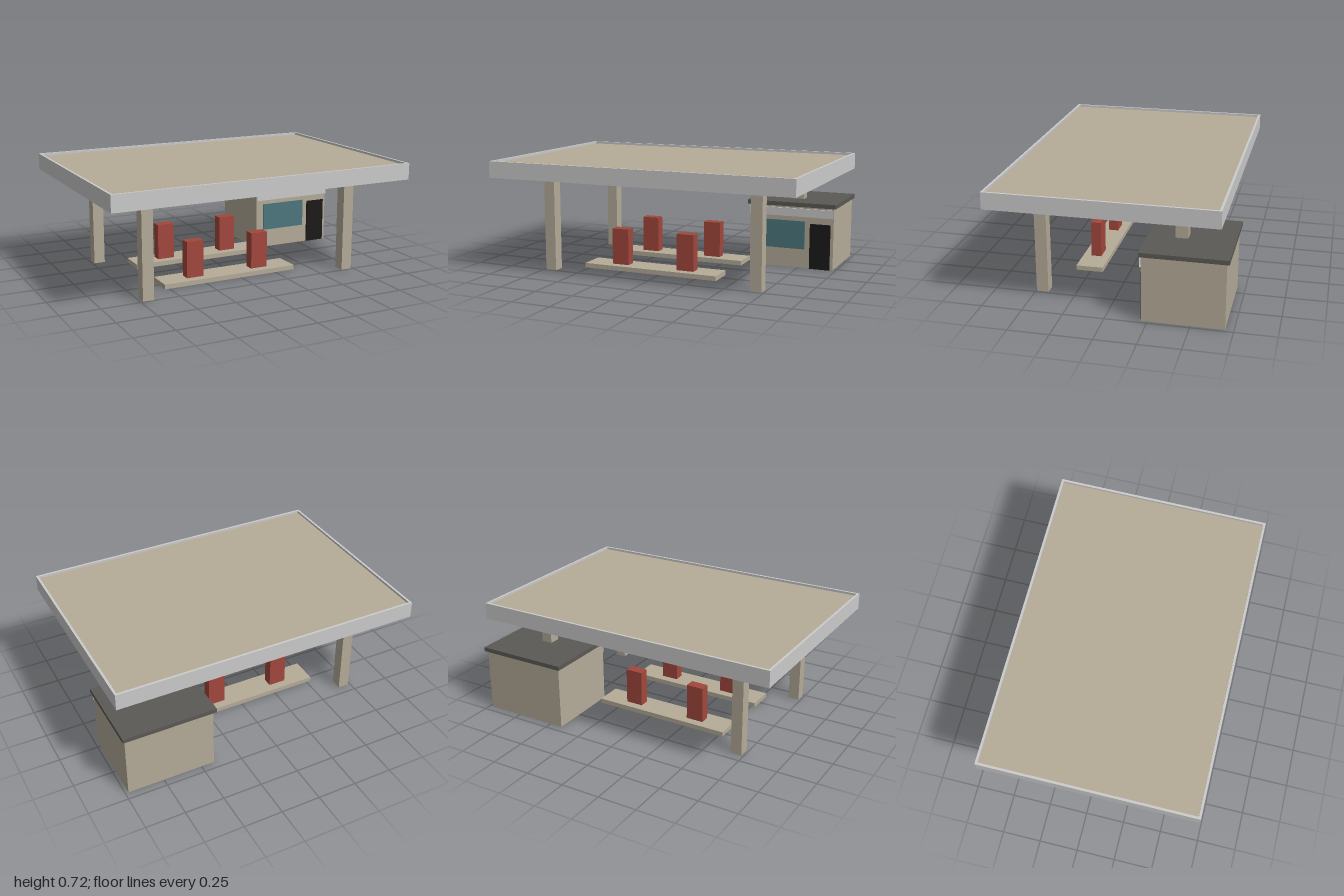
import * as THREE from 'three';

const mat = (color) => new THREE.MeshStandardMaterial({ color, side: THREE.DoubleSide });

// Box from min/max bounds; `open` lists faces left out (0:+x 1:-x 2:+y 3:-y 4:+z 5:-z)
function block(name, [x0, x1], [y0, y1], [z0, z1], material, open = []) {
  const geo = new THREE.BoxGeometry(x1 - x0, y1 - y0, z1 - z0);
  const index = Array.from(geo.index.array);
  geo.setIndex(index.filter((_, i) => !open.includes(Math.floor(i / 6))));
  geo.clearGroups();
  geo.translate((x0 + x1) / 2, (y0 + y1) / 2, (z0 + z1) / 2);
  const mesh = new THREE.Mesh(geo, material);
  mesh.name = name;
  return mesh;
}

const span = (centre, size) => [centre - size / 2, centre + size / 2];

// Rectangular ring fascia, extruded upward
function fascia(x, z, y, rim, material) {
  const rect = (P, r) => new P([
    new THREE.Vector2(x[0] + r, -z[1] + r), new THREE.Vector2(x[1] - r, -z[1] + r),
    new THREE.Vector2(x[1] - r, -z[0] - r), new THREE.Vector2(x[0] + r, -z[0] - r),
  ]);
  const shape = rect(THREE.Shape, 0);
  shape.holes.push(rect(THREE.Path, rim));
  const geo = new THREE.ExtrudeGeometry(shape, { depth: y[1] - y[0], bevelEnabled: false });
  geo.rotateX(-Math.PI / 2).translate(0, y[0], 0);
  const mesh = new THREE.Mesh(geo, material);
  mesh.name = 'canopyFascia';
  return mesh;
}

export function createModel() {
  const model = new THREE.Group();
  model.name = 'fuelStation';
  const concrete = mat(0xb5ab98);
  const grey = mat(0xcccccc);
  const red = mat(0xa3473c);
  const dark = mat(0x5a5955);
  const glass = mat(0x4c777f);
  const black = mat(0x1c1b1a);

  // Canopy: raised rim around a recessed deck
  const canopy = new THREE.Group();
  canopy.name = 'canopy';
  canopy.add(fascia([-1, 1], [-0.665, 0.715], [0.615, 0.72], 0.015, grey));
  canopy.add(block('canopyDeck', [-0.985, 0.985], [0.64, 0.705], [-0.65, 0.7], concrete));
  model.add(canopy);

  // Four columns, hollow at both ends
  for (const x of [-0.7, 0.7])
    for (const z of [-0.402, 0.457])
      model.add(block('column', span(x, 0.072), [0, 0.64], span(z, 0.074), concrete, [2, 3]));

  // Two islands, open underneath, each with two pumps
  for (const z of [-0.202, 0.257]) {
    const island = new THREE.Group();
    island.name = 'pumpIsland';
    island.add(block('islandKerb', [-0.53, 0.388], [0, 0.03], span(z, 0.175), concrete, [3]));
    for (const x of [-0.298, 0.158])
      island.add(block('pump', span(x, 0.114), [0.03, 0.265], span(z, 0.066), red, [3]));
    model.add(island);
  }

  // Shop with open floor
  const shop = new THREE.Group();
  shop.name = 'shop';
  shop.add(block('shopWalls', [0.415, 0.98], [0, 0.405], [-0.7, -0.213], concrete, [2, 3]));
  shop.add(block('shopRoof', [0.4, 0.995], [0.405, 0.432], [-0.715, -0.2], dark));
  shop.add(block('signBand', [0.415, 0.98], [0.34, 0.393], [-0.213, -0.202], grey, [0, 1, 5]));
  shop.add(block('window', [0.468, 0.79], [0.125, 0.31], [-0.213, -0.207], glass, [5]));
  shop.add(block('door', [0.825, 0.96], [0, 0.297], [-0.213, -0.204], black, [5]));
  model.add(shop);

  return model;
}
